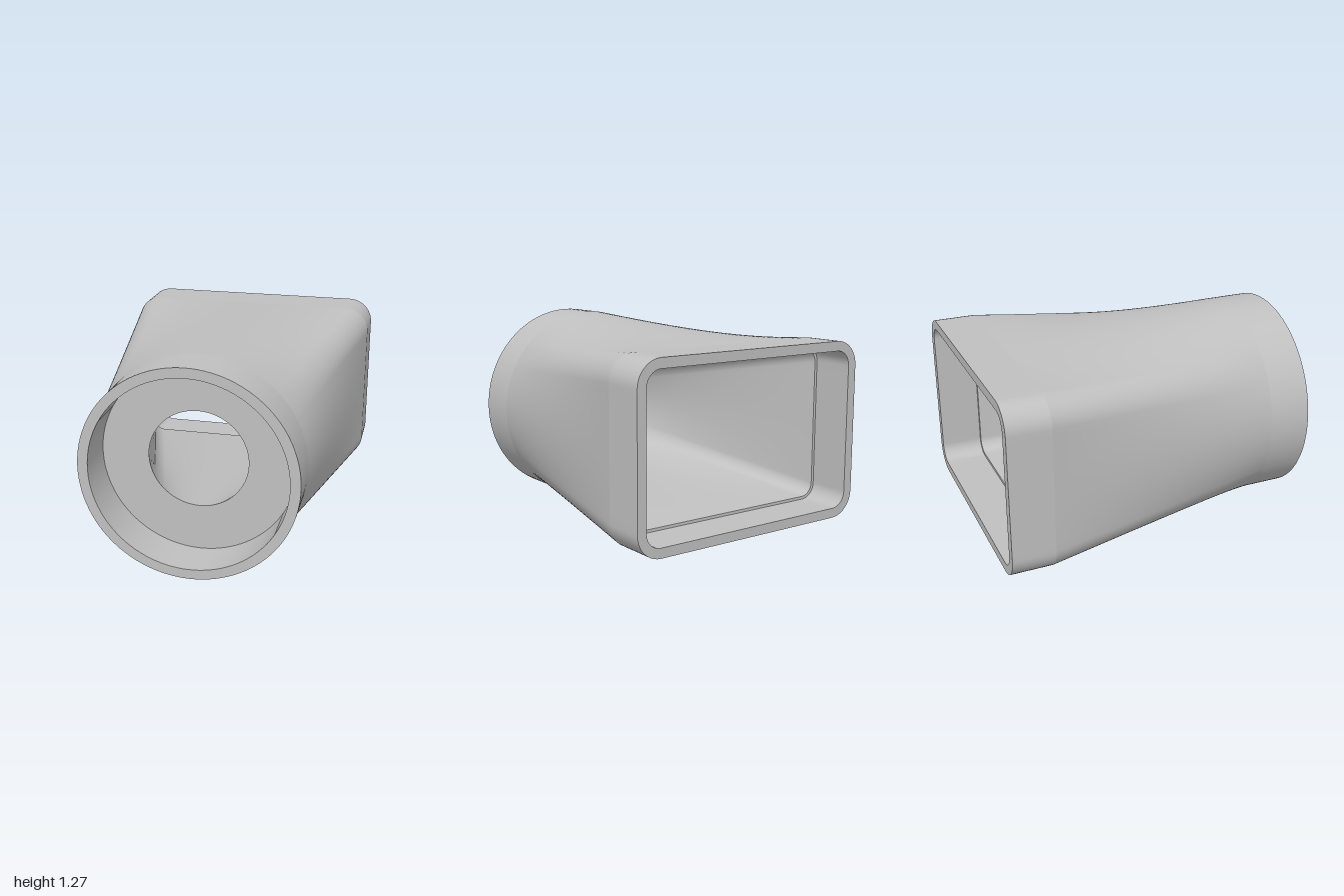
import * as THREE from 'three';

const CY = 0.64;                    // height of the duct axis
const SIDE = 8, ARC = 10, TOP = 14; // points per quadrant: side flat, corner, top flat
const A1 = 0.47, A2 = 0.78;         // circle angles matching the corner's two ends

// First-quadrant points mirrored into a full counter-clockwise ring
function mirrorRing(quarter, z) {
  const pts = [];
  const n = quarter.length - 1;
  const add = (i, sx, sy) => pts.push(new THREE.Vector3(sx * quarter[i][0], CY + sy * quarter[i][1], z));
  for (let i = 0; i < n; i++) add(i, 1, 1);
  for (let i = n; i > 0; i--) add(i, -1, 1);
  for (let i = 0; i < n; i++) add(i, -1, -1);
  for (let i = n; i > 0; i--) add(i, 1, -1);
  return pts;
}

function circle(r, z) {
  const q = [];
  const span = (a, b, n) => {
    for (let i = 0; i < n; i++) {
      const t = a + (b - a) * i / n;
      q.push([r * Math.cos(t), r * Math.sin(t)]);
    }
  };
  span(0, A1, SIDE);
  span(A1, A2, ARC);
  span(A2, Math.PI / 2, TOP);
  q.push([0, r]);
  return mirrorRing(q, z);
}

function roundedRect(hw, hh, r, z) {
  const q = [];
  for (let i = 0; i < SIDE; i++) q.push([hw, (hh - r) * i / SIDE]);
  for (let i = 0; i < ARC; i++) {
    const t = Math.PI / 2 * i / ARC;
    q.push([hw - r + r * Math.cos(t), hh - r + r * Math.sin(t)]);
  }
  for (let i = 0; i <= TOP; i++) q.push([(hw - r) * (1 - i / TOP), hh]);
  return mirrorRing(q, z);
}

// Ruled skin between two matching rings
function loft(a, b, steps = 1) {
  const n = a.length, pos = [], index = [];
  for (let s = 0; s <= steps; s++) {
    for (let i = 0; i < n; i++) pos.push(...a[i].clone().lerp(b[i], s / steps).toArray());
  }
  for (let s = 0; s < steps; s++) {
    for (let i = 0; i < n; i++) {
      const j = (i + 1) % n, p = s * n, q = p + n;
      index.push(p + i, p + j, q + j, p + i, q + j, q + i);
    }
  }
  const g = new THREE.BufferGeometry();
  g.setAttribute('position', new THREE.Float32BufferAttribute(pos, 3));
  g.setIndex(index);
  g.computeVertexNormals();
  return g;
}

export function createModel() {
  const group = new THREE.Group();
  group.name = 'ductAdapter';
  const grey = new THREE.MeshStandardMaterial({ color: 0xc0c0c0 });
  grey.name = 'grey plastic';

  // Rings in order along the wall: outside back to front, then inside front to back
  const backOuter = roundedRect(0.805, 0.54, 0.155, -1);
  const backShoulder = roundedRect(0.805, 0.54, 0.155, -0.74);
  const frontShoulder = circle(0.637, 0.74);
  const frontOuter = circle(0.637, 1);
  const frontInner = circle(0.577, 1);
  const seatOuter = circle(0.577, 0.74);
  const hole = circle(0.296, 0.74);
  const throat = roundedRect(0.728, 0.463, 0.08, -0.74);
  const ledgeOuter = roundedRect(0.746, 0.481, 0.095, -0.74);
  const backInner = roundedRect(0.746, 0.481, 0.095, -1);

  const parts = [
    ['rectangularCollar', backOuter, backShoulder],
    ['outerTransition', backShoulder, frontShoulder, 20],
    ['roundCollar', frontShoulder, frontOuter],
    ['frontRim', frontOuter, frontInner],
    ['roundSocket', frontInner, seatOuter],
    ['socketSeat', seatOuter, hole],
    ['innerTransition', hole, throat, 20],
    ['backLedge', throat, ledgeOuter],
    ['rectangularSocket', ledgeOuter, backInner],
    ['backRim', backInner, backOuter],
  ];
  for (const [name, a, b, steps] of parts) {
    const mesh = new THREE.Mesh(loft(a, b, steps), grey);
    mesh.name = name;
    group.add(mesh);
  }
  return group;
}
